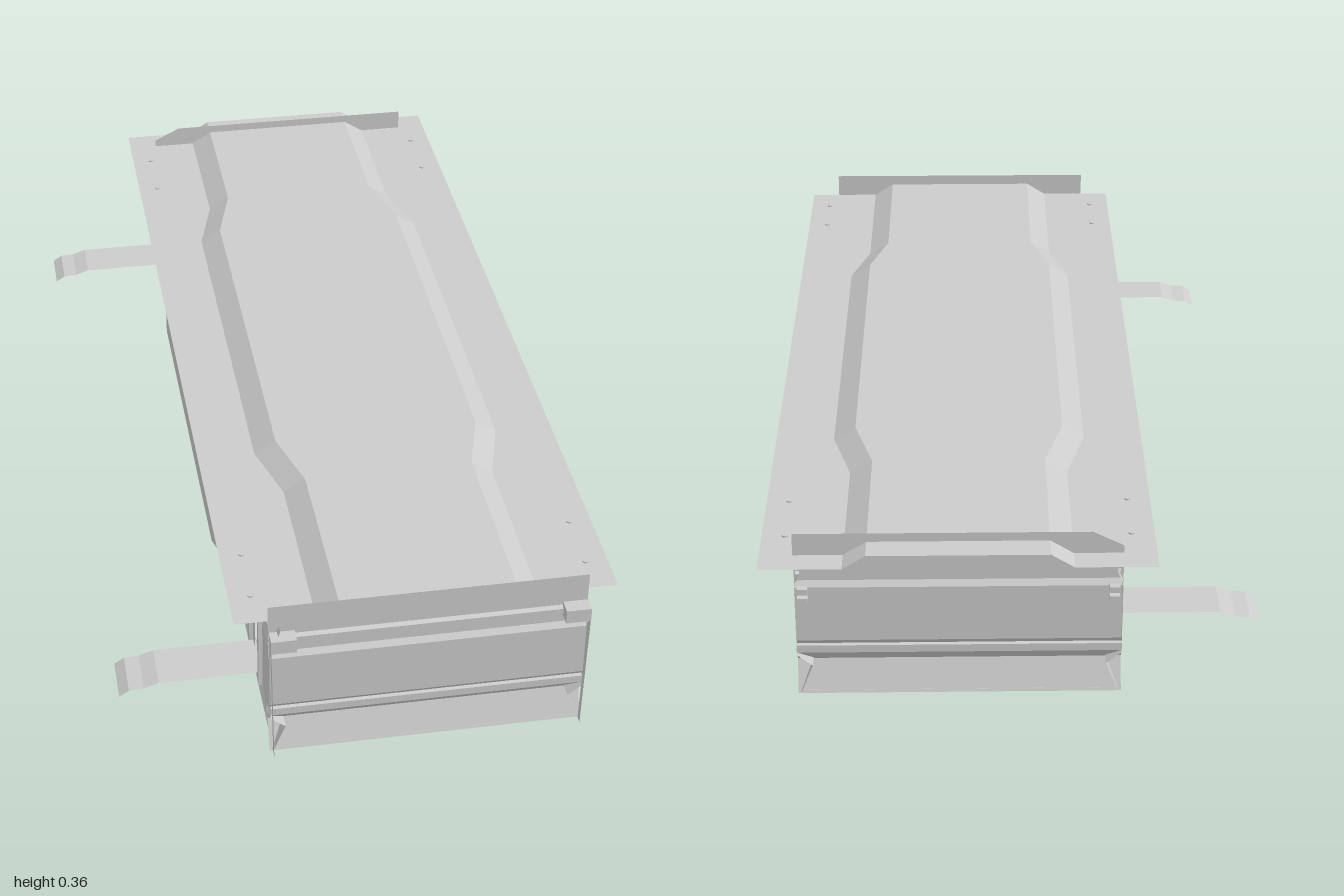
import * as THREE from 'three';

const CX = 0.11; // centre line of the tray body
const sheetMat = new THREE.MeshStandardMaterial({ color: 0xcccccc, side: THREE.DoubleSide, flatShading: true });

// Sheet through equal-length rows of [x, y, z]; skip(i, j) leaves a hole
function sheet(name, rows, skip = () => false) {
  const pos = [];
  for (let i = 0; i < rows.length - 1; i++) {
    for (let j = 0; j < rows[i].length - 1; j++) {
      if (skip(i, j)) continue;
      const a = rows[i][j], b = rows[i + 1][j], c = rows[i + 1][j + 1], d = rows[i][j + 1];
      pos.push(...a, ...b, ...c, ...a, ...c, ...d);
    }
  }
  const geo = new THREE.BufferGeometry();
  geo.setAttribute('position', new THREE.Float32BufferAttribute(pos, 3));
  geo.computeVertexNormals();
  const mesh = new THREE.Mesh(geo, sheetMat);
  mesh.name = name;
  return mesh;
}

function box(name, w, h, d, x, y, z) {
  const mesh = new THREE.Mesh(new THREE.BoxGeometry(w, h, d), sheetMat);
  mesh.position.set(x, y, z);
  mesh.name = name;
  return mesh;
}

// Side wall: [half width at the ends, height, share of the middle bulge]
const SIDE = [
  [0.31, 0.005, 0], [0.285, 0.068, 0.5], [0.315, 0.092, 1], [0.315, 0.1, 1], [0.315, 0.195, 1],
  [0.315, 0.25, 1], [0.305, 0.272, 1], [0.312, 0.274, 1], [0.312, 0.288, 1], [0.303, 0.29, 1], [0.295, 0.31, 0.6],
];
// Stations along the wall: [z, bulge]
const STATIONS = [
  [-0.95, 0], [-0.79, 0], [-0.73, 0], [-0.56, 0], [-0.42, 0.04],
  [0.41, 0.04], [0.55, 0], [0.78, 0], [0.84, 0], [0.985, 0],
];

function sideWall(s) {
  const group = new THREE.Group();
  group.name = s > 0 ? 'leftSide' : 'rightSide';
  const rows = STATIONS.map(([z, b]) => SIDE.map(([u, y, k]) => [CX + s * (u + k * b), y, z]));
  group.add(sheet('sideWall', rows, (i, j) => (i === 1 || i === 7) && j === 3));

  // Upright ribs beside the windows
  for (const z of [-0.84, -0.695, 0.745, 0.875]) {
    group.add(box('rib', 0.012, 0.21, 0.016, CX + s * 0.317, 0.195, z));
    const foot = box('ribFoot', 0.01, 0.085, 0.016, CX + s * 0.303, 0.05, z);
    group.add(foot);
  }
  // Small slots along the upper bulge
  for (let i = 0; i < 24; i++) {
    group.add(box('slot', 0.003, 0.005, 0.016, CX + s * 0.355, 0.24, -0.38 + i * 0.033));
  }
  // Corner brackets
  group.add(box('frontBracket', 0.05, 0.03, 0.03, CX + s * 0.29, 0.285, 0.985));
  group.add(sheet('frontCorner', [
    [[CX + s * 0.31, 0.005, 0.985], [CX + s * 0.315, 0.3, 0.985]],
    [[CX + s * 0.31, 0.005, 1], [CX + s * 0.315, 0.3, 1]],
  ]));
  for (const y of [0.215, 0.235, 0.295]) {
    group.add(box('rearClip', 0.02, 0.012, 0.02, CX + s * 0.3, y, -0.945));
  }
  return group;
}

// End wall profile: [height, outward offset]
const END = [
  [0, 0.005], [0.065, -0.02], [0.092, 0.004], [0.108, 0.004], [0.109, -0.004], [0.12, 0.004],
  [0.238, 0.004], [0.25, -0.004], [0.275, -0.004], [0.276, 0.005], [0.288, 0.005], [0.29, -0.006],
];

function endWall(name, z0, s) {
  const half = 0.316;
  return sheet(name, [-half, half].map((u) => END.map(([y, o]) => [CX + u, y, z0 + s * o])));
}

// Upright flap above an end wall; cut trims its corner on the -x end
function topFlap(name, z, cut) {
  const shape = new THREE.Shape();
  shape.moveTo(CX - 0.316, 0.285);
  shape.lineTo(CX + 0.316, 0.285);
  shape.lineTo(CX + 0.316, 0.358);
  shape.lineTo(CX - 0.316 + cut * 2, 0.358);
  shape.lineTo(CX - 0.316, 0.358 - cut);
  const mesh = new THREE.Mesh(new THREE.ShapeGeometry(shape), sheetMat);
  mesh.position.z = z;
  mesh.name = name;
  return mesh;
}

export function createModel() {
  const model = new THREE.Group();
  model.name = 'tray';

  // Lid with a raised centre that widens in the middle
  const lid = [[-1, 0], [-0.61, 0], [-0.46, 0.04], [0.41, 0.04], [0.55, 0], [0.95, 0]].map(([z, b]) => {
    const edge = [[0.38, 0.312], [0.22 + b, 0.312], [0.175 + b, 0.34]];
    return [
      ...edge.map(([u, y]) => [CX - u, y, z]),
      ...edge.reverse().map(([u, y]) => [CX + u, y, z]),
    ];
  });
  model.add(sheet('lid', lid));

  // Floor
  model.add(sheet('floor', [-0.94, 0.975].map((z) => [[CX - 0.31, 0.006, z], [CX + 0.31, 0.006, z]])));

  for (const s of [-1, 1]) {
    model.add(sideWall(s));
    // Lid fasteners
    for (const z of [-0.87, -0.73, 0.74, 0.87]) {
      const bolt = new THREE.Mesh(new THREE.CylinderGeometry(0.006, 0.006, 0.004, 8), sheetMat);
      bolt.position.set(CX + s * 0.335, 0.313, z);
      bolt.name = 'bolt';
      model.add(bolt);
    }
  }

  // Ends
  model.add(endWall('frontWall', 0.972, 1), endWall('backWall', -0.937, -1));
  model.add(topFlap('frontFlap', 0.965, 0), topFlap('backFlap', -0.945, 0.03));

  // Tongues reaching out through the windows on one side
  const tongue = [[-0.2, 0.1], [-0.41, 0.1], [-0.44, 0.09], [-0.47, 0.088], [-0.49, 0.075]];
  for (const z of [-0.765, 0.805]) {
    model.add(sheet('tongue', [-0.05, 0.05].map((d) => tongue.map(([x, y]) => [x, y, z + d]))));
  }
  return model;
}
